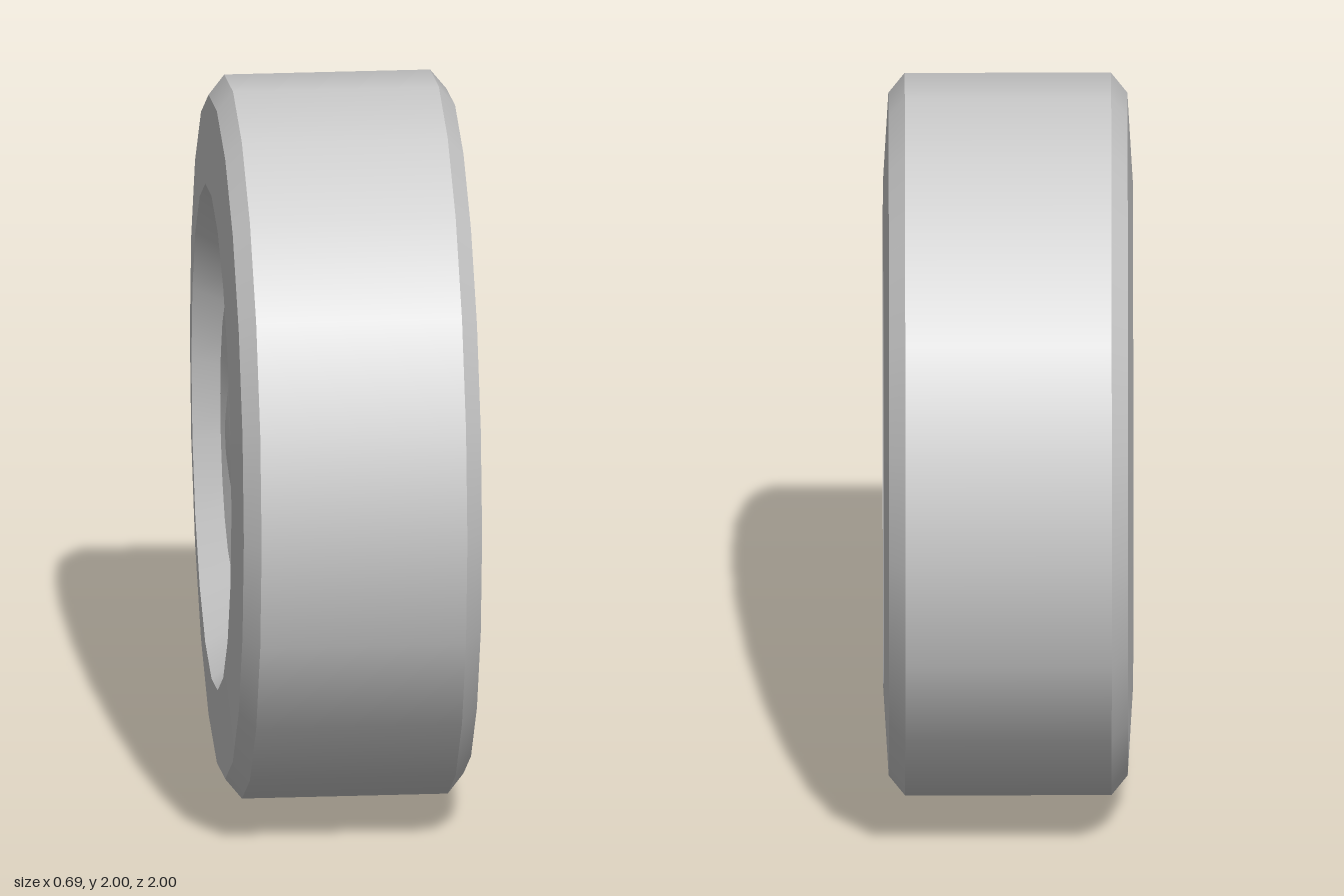
import * as THREE from 'three';

const SIDES = 20;
const material = new THREE.MeshStandardMaterial({ color: 0xcccccc });

// One smooth band turned around the x axis; points are [radius, x], running from tread to hub
function band(name, points) {
  const geometry = new THREE.LatheGeometry(points.map(([r, x]) => new THREE.Vector2(r, x)), SIDES);
  geometry.rotateZ(-Math.PI / 2);
  const mesh = new THREE.Mesh(geometry, material);
  mesh.name = name;
  return mesh;
}

// Shallow dome profile from its rim to the axis
function domeProfile(radius, base, height, steps) {
  const points = [];
  for (let i = 0; i <= steps; i++) {
    const r = radius * (1 - i / steps);
    points.push([r, base + height * (1 - (r / radius) ** 2)]);
  }
  return points;
}

// Everything on one face of the wheel
function wheelFace(name) {
  const face = new THREE.Group();
  face.name = name;
  face.add(
    band('tyreShoulder', [[1, 0.285], [0.945, 0.33]]),
    band('tyreSidewall', [[0.945, 0.33], [0.7, 0.345]]),
    band('rimWall', [[0.7, 0.345], [0.585, 0.19]]),
    band('wheelDisc', [[0.585, 0.19], [0.387, 0.29]]),
    band('hubRing', [[0.387, 0.29], [0.275, 0.255]]),
    band('hubCap', domeProfile(0.275, 0.255, 0.05, 4))
  );
  return face;
}

export function createModel() {
  const wheel = new THREE.Group();
  wheel.name = 'wheel';
  wheel.add(band('tyreTread', [[1, -0.285], [1, 0.285]]));

  // The two faces are the same, turned half round
  const left = wheelFace('leftFace');
  const right = wheelFace('rightFace');
  right.rotation.y = Math.PI;
  wheel.add(left, right);

  wheel.position.y = 1;
  const model = new THREE.Group();
  model.add(wheel);
  return model;
}
